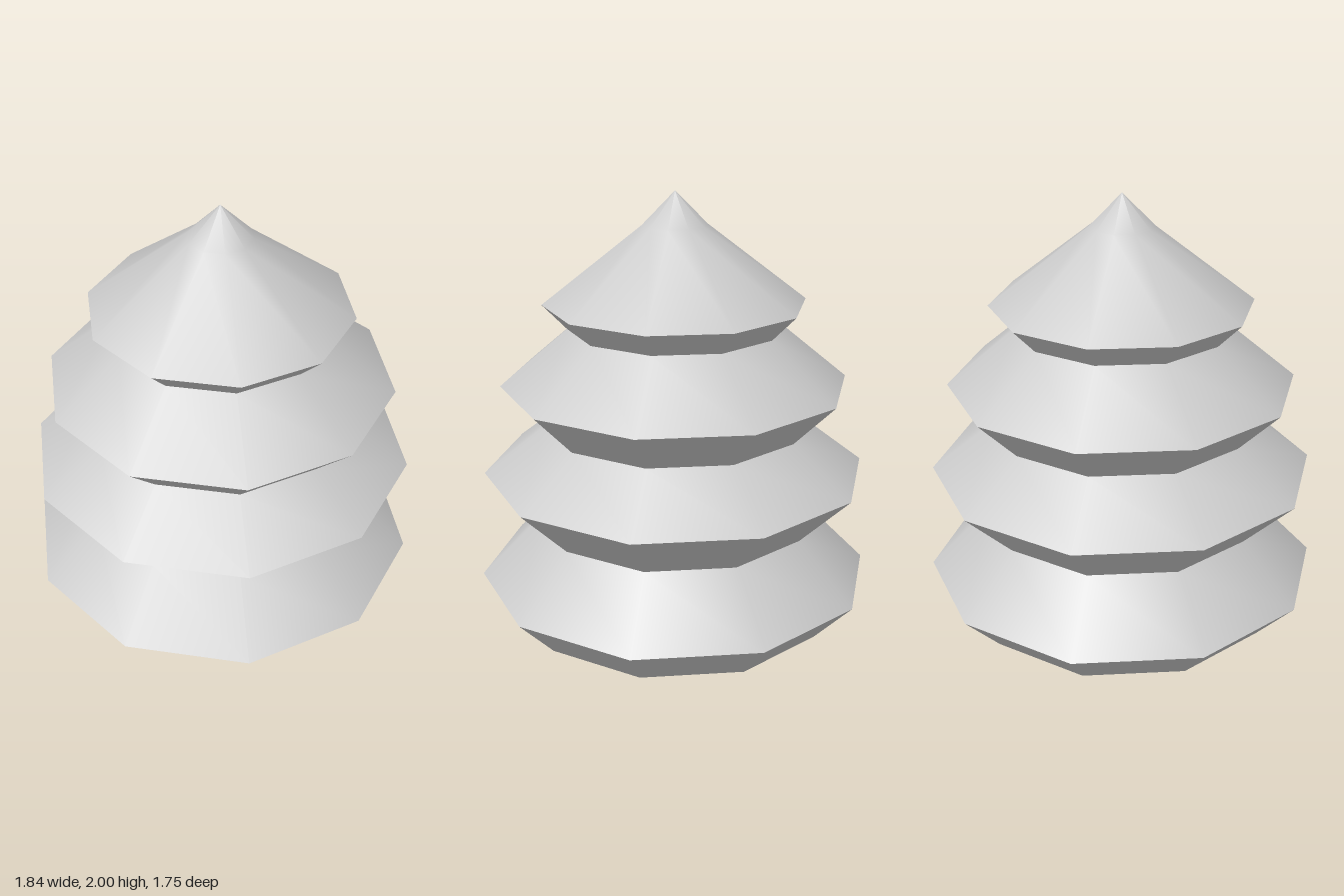
import * as THREE from 'three';

const SIDES = 10;

export function createModel() {
  const model = new THREE.Group();
  model.name = 'tieredTree';
  const grey = new THREE.MeshStandardMaterial({ color: 0xcccccc });
  grey.name = 'light grey';

  // Ten-sided band, smooth around and sharp at its rims; profile is [radius, y] from the bottom up
  function band(name, profile, parent) {
    const points = profile.map(([r, y]) => new THREE.Vector2(r, y));
    const geometry = new THREE.LatheGeometry(points, SIDES, Math.PI / 2, Math.PI * 2);
    const mesh = new THREE.Mesh(geometry, grey);
    mesh.name = name;
    parent.add(mesh);
  }

  // Each tier: a flared underside, then a sloping top up to the next neck
  const tiers = [
    { under: [0.74, 0], rim: [0.92, 0.19], top: [[0.65, 0.465]] },
    { under: [0.65, 0.465], rim: [0.89, 0.705], top: [[0.605, 0.925]] },
    { under: [0.605, 0.925], rim: [0.8, 1.125], top: [[0.488, 1.385]] },
    { under: [0.488, 1.385], rim: [0.6, 1.5], top: [[0.148, 1.85], [0, 2]] },
  ];
  tiers.forEach(({ under, rim, top }, i) => {
    const tier = new THREE.Group();
    tier.name = `tier${i + 1}`;
    band('underside', [under, rim], tier);
    band('slope', [rim, ...top], tier);
    model.add(tier);
  });

  // Flat base
  band('base', [[0, 0], [0.74, 0]], model);

  return model;
}
